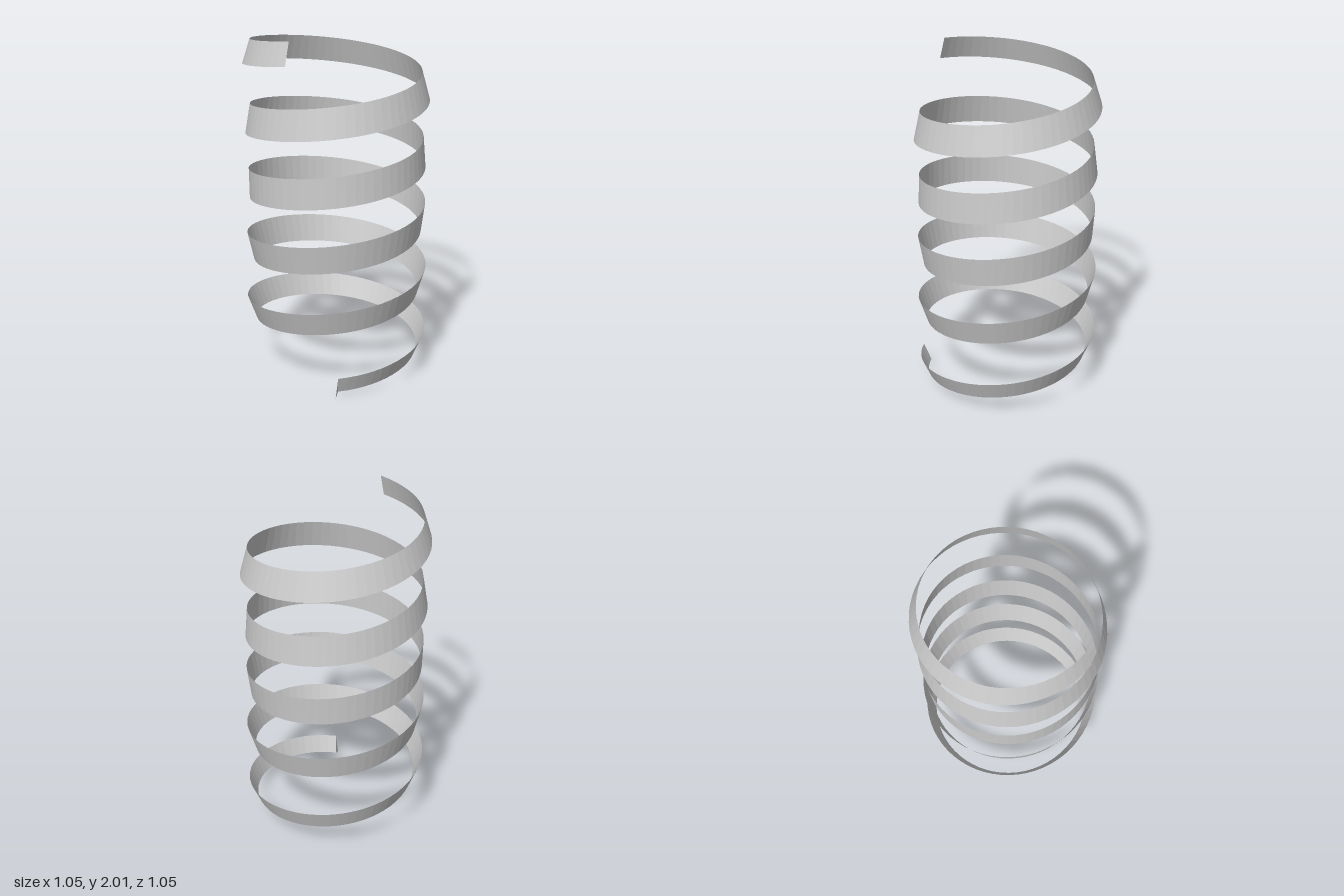
import * as THREE from 'three';

const TURNS = 4.918, START = 0.006, STEPS = 300, RADIUS = 0.5;

// Smooth curve of a value along the spiral, one key per half turn
const track = (keys) => {
  const curve = new THREE.SplineCurve(keys.map((v, i) => new THREE.Vector2(i, v)));
  return (turn) => curve.getPoint(Math.min(1, turn / 2 / 0.25 / (keys.length - 1))).y;
};
// Half of the band's lean (top edge outward) and half of its height
const lean = track([0.022, 0.025, 0.024, 0.021, 0.015, 0.006, -0.003, -0.011, -0.018, -0.0245, -0.019]);
const half = track([0.052, 0.064, 0.073, 0.08, 0.084, 0.0865, 0.087, 0.086, 0.083, 0.076, 0.062]);

// Point on the lower (side -1) or upper (side 1) edge of the band
function edgePoint(turn, side) {
  const a = turn * Math.PI * 2;
  const r = RADIUS + side * lean(turn);
  const y = 0.073 + 0.38 * turn + side * half(turn);
  return [r * Math.sin(a), y, r * Math.cos(a)];
}

function ribbonGeometry() {
  const pos = [], index = [];
  for (let i = 0; i <= STEPS; i++) {
    const turn = START + (TURNS - START) * i / STEPS;
    pos.push(...edgePoint(turn, -1), ...edgePoint(turn, 1));
    if (i < STEPS) {
      const k = i * 2;
      index.push(k, k + 2, k + 3, k, k + 3, k + 1);
    }
  }
  // Small pointed flap at the lower end
  const tip = pos.length / 3;
  pos.push(0.005, 0, 0.523);
  index.push(tip, 0, 1);

  const geo = new THREE.BufferGeometry();
  geo.setAttribute('position', new THREE.Float32BufferAttribute(pos, 3));
  geo.setIndex(index);
  geo.computeVertexNormals();
  return geo;
}

export function createModel() {
  const group = new THREE.Group();
  group.name = 'spiral';
  const material = new THREE.MeshStandardMaterial({
    color: 0xcccccc, flatShading: true, side: THREE.DoubleSide,
  });
  const ribbon = new THREE.Mesh(ribbonGeometry(), material);
  ribbon.name = 'spiralRibbon';
  group.add(ribbon);
  return group;
}
